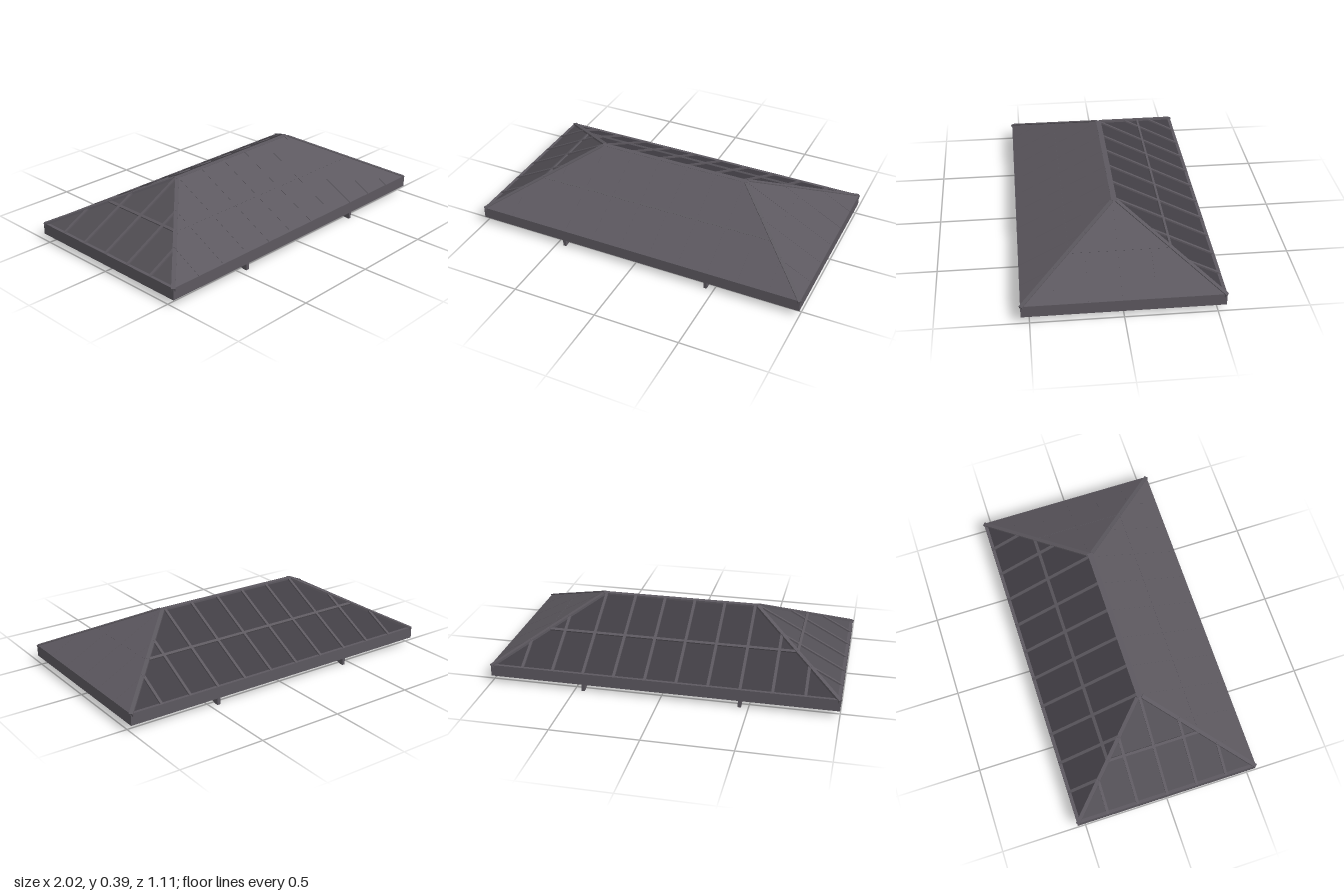
import * as THREE from 'three';

const W = 1, D = 0.545;            // eave half sizes
const RX = 0.47, RZ = 0.015;       // ridge half sizes
const Y0 = 0.04, EAVE = 0.108, TOP = 0.39;

export function createModel() {
  const root = new THREE.Group();
  const make = (color, name) => {
    const m = new THREE.MeshStandardMaterial({ color, side: THREE.DoubleSide });
    m.name = name;
    return m;
  };
  const frame = make(0x5c585f, 'frame grey');
  const dark = make(0x413e44, 'dark pane');
  const endDark = make(0x514e54, 'end pane');

  const V = (x, y, z) => new THREE.Vector3(x, y, z);
  const add = (geo, mat, name, parent = root) => {
    const m = new THREE.Mesh(geo, mat);
    m.name = name;
    parent.add(m);
    return m;
  };

  // roof point: t = 0 at the eave, 1 at the ridge
  const height = t => EAVE + (TOP - EAVE) * t;
  const longPt = (x, t, s) => V(x, height(t), s * (D + (RZ - D) * t));
  const endPt = (z, t, s) => V(s * (W + (RX - W) * t), height(t), z);

  // square bar between two points, its outer face on the line ab
  function bar(a, b, out, w, d, name, parent) {
    const along = b.clone().sub(a);
    const len = along.length();
    along.normalize();
    const side = V(0, 0, 0).crossVectors(out, along).normalize();
    const up = V(0, 0, 0).crossVectors(along, side).normalize();
    const m = add(new THREE.BoxGeometry(w, d, len), frame, name, parent);
    m.quaternion.setFromRotationMatrix(new THREE.Matrix4().makeBasis(side, up, along));
    m.position.copy(a).add(b).multiplyScalar(0.5).addScaledVector(up, -d / 2);
  }

  // flat four-cornered pane, corners counter-clockwise from outside
  function pane(points, drop, mat, name, parent) {
    const p = points.map(v => [v.x, v.y - drop, v.z]);
    const geo = new THREE.BufferGeometry();
    geo.setAttribute('position', new THREE.Float32BufferAttribute(
      [p[0], p[1], p[2], p[0], p[2], p[3]].flat(), 3));
    geo.computeVertexNormals();
    add(geo, mat, name, parent);
  }

  for (const s of [1, -1]) {
    const drop = s > 0 ? 0.0012 : 0.01;

    // long slope: pane, rafters and purlin
    const slope = new THREE.Group();
    slope.name = s > 0 ? 'frontSlope' : 'backSlope';
    root.add(slope);
    pane([longPt(-W * s, 0, s), longPt(W * s, 0, s), longPt(RX * s, 1, s), longPt(-RX * s, 1, s)],
      drop, s > 0 ? frame : dark, 'longPane', slope);
    const outL = V(0, 1, s * 0.53);
    for (let i = 0; i < 10; i++) {
      const x = -0.81 + 0.18 * i;
      const t = Math.min(1, (W - Math.abs(x)) / (W - RX));
      bar(longPt(x, 0, s), longPt(x, t, s), outL, 0.016, 0.018, 'rafter', slope);
    }
    const px = W + (RX - W) * 0.5;
    bar(longPt(-px, 0.5, s), longPt(px, 0.5, s), outL, 0.016, 0.018, 'purlin', slope);

    // hipped end: pane, rafters and purlin
    const end = new THREE.Group();
    end.name = s > 0 ? 'leftEnd' : 'rightEnd';
    root.add(end);
    pane([endPt(D * s, 0, s), endPt(-D * s, 0, s), endPt(-RZ * s, 1, s), endPt(RZ * s, 1, s)],
      drop, s > 0 ? frame : endDark, 'endPane', end);
    const outE = V(s * 0.53, 1, 0);
    for (const z of [-0.36, -0.18, 0, 0.18, 0.36]) {
      const t = Math.min(1, (D - Math.abs(z)) / (D - RZ));
      bar(endPt(z, 0, s), endPt(z, t, s), outE, 0.016, 0.018, 'endRafter', end);
    }
    const pz = D + (RZ - D) * 0.5;
    bar(endPt(-pz, 0.5, s), endPt(pz, 0.5, s), outE, 0.016, 0.018, 'endPurlin', end);

    // hip bars at the two corners
    for (const k of [1, -1])
      bar(V(s * W, EAVE, k * D), V(s * RX, TOP, k * RZ), V(s, 3.5, k), 0.022, 0.02, 'hipBar');

    // fascia boards
    const h = EAVE - Y0, th = 0.022;
    add(new THREE.BoxGeometry(2 * W, h, th), frame, 'longFascia')
      .position.set(0, Y0 + h / 2, s * (D - th / 2));
    add(new THREE.BoxGeometry(th, h, 2 * (D - th)), frame, 'endFascia')
      .position.set(s * (W - th / 2), Y0 + h / 2, 0);

    // arched tie beam
    const arch = new THREE.Shape();
    arch.moveTo(-0.543, 0);
    arch.lineTo(-0.52, 0);
    arch.quadraticCurveTo(0, 0.18, 0.52, 0);
    arch.lineTo(0.543, 0);
    arch.lineTo(0.543, 0.095);
    arch.quadraticCurveTo(0, 0.145, -0.543, 0.095);
    const beam = new THREE.ExtrudeGeometry(arch, { depth: 0.018, bevelEnabled: false, curveSegments: 16 });
    beam.translate(0, 0, -0.009);
    beam.rotateY(-Math.PI / 2);
    add(beam, frame, 'tieBeam').position.x = s * 0.45;
  }

  // ridge cap
  add(new THREE.BoxGeometry(2 * RX, 0.02, 2 * RZ), frame, 'ridgeCap').position.y = TOP - 0.01;

  return root;
}
